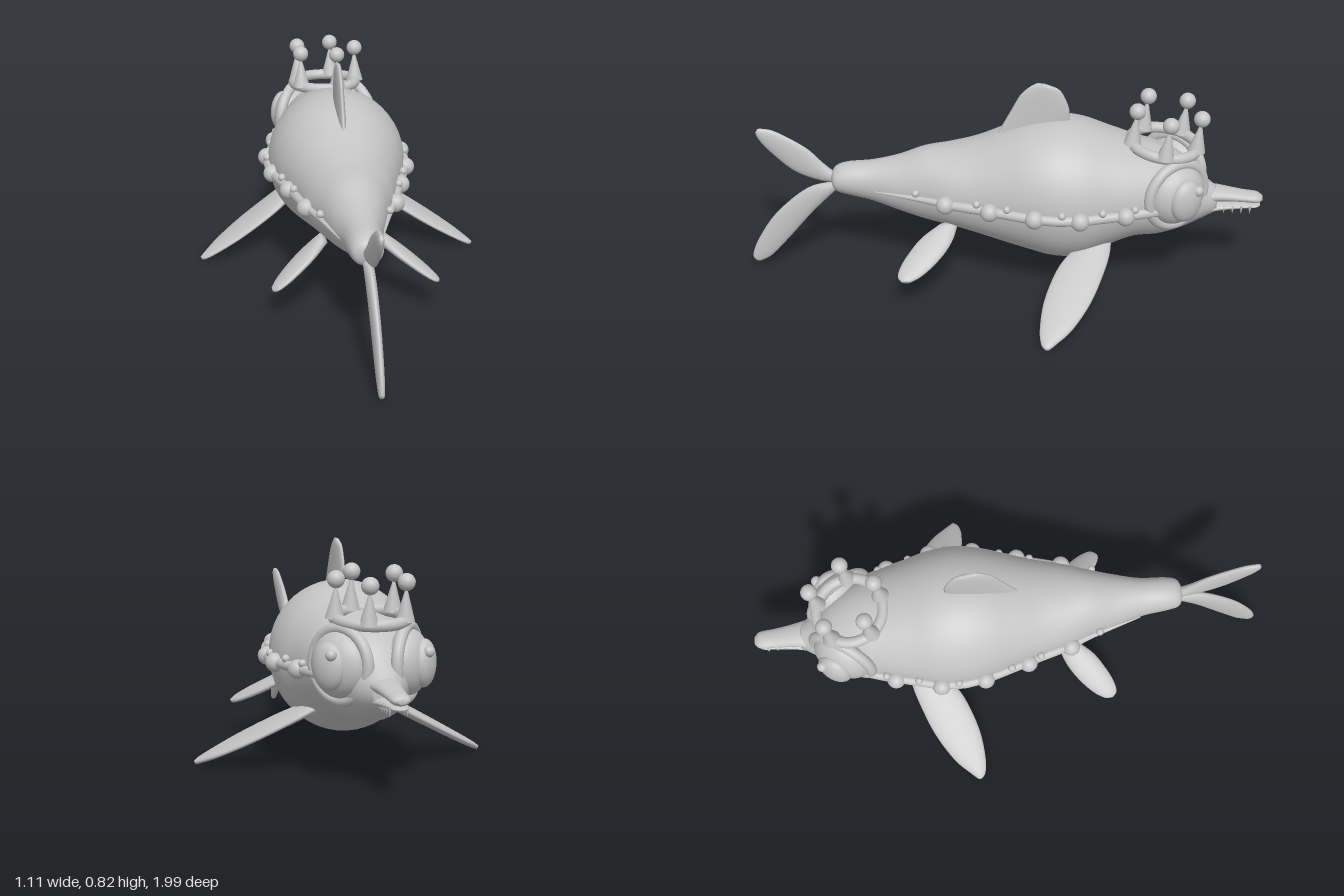
import * as THREE from 'three';

const V = (x, y, z) => new THREE.Vector3(x, y, z);
const skin = new THREE.MeshStandardMaterial({ color: 0xc4c4c4 });
skin.name = 'pale grey';

// Smooth skin over elliptical sections { c: centre, u, v: half axes }, closed at both ends
function loft(sections, steps = 48, sides = 32) {
  const curves = ['c', 'u', 'v'].map(k => {
    const pts = sections.map(s => s[k]);
    return new THREE.CatmullRomCurve3(pts, false, 'catmullrom', 0.5);
  });
  const pos = [], idx = [];
  const rings = steps + 3;
  for (let i = 0; i < rings; i++) {
    const t = Math.min(Math.max((i - 1) / steps, 0), 1);
    const [c, u, v] = curves.map(k => k.getPoint(t));
    const size = i === 0 || i === rings - 1 ? 0.001 : 1;
    for (let j = 0; j < sides; j++) {
      const a = j / sides * Math.PI * 2;
      const p = c.clone().addScaledVector(u, size * Math.cos(a)).addScaledVector(v, size * Math.sin(a));
      pos.push(p.x, p.y, p.z);
    }
  }
  const m = sections[Math.floor(sections.length / 2)];
  const along = sections[sections.length - 1].c.clone().sub(sections[0].c);
  const flip = m.u.clone().cross(m.v).dot(along) < 0;
  for (let i = 0; i < rings - 1; i++) {
    for (let j = 0; j < sides; j++) {
      const k = (j + 1) % sides;
      const a = i * sides + j, b = i * sides + k, c = b + sides, d = a + sides;
      if (flip) idx.push(a, c, b, a, d, c);
      else idx.push(a, b, c, a, c, d);
    }
  }
  const g = new THREE.BufferGeometry();
  g.setAttribute('position', new THREE.Float32BufferAttribute(pos, 3));
  g.setIndex(idx);
  g.computeVertexNormals();
  return g;
}

// Rows of [z, top y, bottom y, half width] become sections along z
const hull = rows => rows.map(([z, top, bottom, w]) => ({
  c: V(0, (top + bottom) / 2, z), u: V(w, 0, 0), v: V(0, (top - bottom) / 2, 0),
}));

// Leaf-shaped fin between edge points a and b, with the thickness along a given axis
function fin(pairs, axis, thickness) {
  const n = pairs.length - 1;
  return loft(pairs.map(([a, b], i) => ({
    c: a.clone().add(b).multiplyScalar(0.5),
    u: a.clone().sub(b).multiplyScalar(0.5),
    v: axis.clone().multiplyScalar(thickness * (1 - 0.65 * Math.pow(i / n, 2))),
  })), 24, 24);
}

const bodyRows = [
  [0.662, 0.425, 0.385, 0.02], [0.645, 0.452, 0.357, 0.052], [0.60, 0.47, 0.342, 0.064],
  [0.50, 0.482, 0.317, 0.073], [0.40, 0.505, 0.282, 0.10], [0.30, 0.542, 0.25, 0.128],
  [0.20, 0.557, 0.232, 0.164], [0.10, 0.582, 0.205, 0.19], [0, 0.622, 0.175, 0.22],
  [-0.10, 0.66, 0.147, 0.25], [-0.20, 0.676, 0.122, 0.268], [-0.30, 0.666, 0.125, 0.262],
  [-0.40, 0.632, 0.168, 0.235], [-0.50, 0.598, 0.21, 0.208], [-0.60, 0.572, 0.217, 0.175],
  [-0.69, 0.525, 0.24, 0.13], [-0.76, 0.45, 0.272, 0.085], [-0.82, 0.40, 0.30, 0.045],
];

// Body half width at a given z
function halfWidth(z) {
  const i = Math.max(1, bodyRows.findIndex(r => r[0] <= z));
  const [a, b] = [bodyRows[i - 1], bodyRows[i]];
  return THREE.MathUtils.lerp(a[3], b[3], (a[0] - z) / (a[0] - b[0]));
}

export function createModel() {
  const model = new THREE.Group();
  const add = (name, geometry, x = 0, y = 0, z = 0, parent = model) => {
    const mesh = new THREE.Mesh(geometry, skin);
    mesh.name = name;
    mesh.position.set(x, y, z);
    parent.add(mesh);
    return mesh;
  };
  const ball = r => new THREE.SphereGeometry(r, 24, 16);

  add('body', loft(hull(bodyRows), 100, 48));

  // Beak
  add('upperJaw', loft(hull([
    [-0.68, 0.46, 0.35, 0.095], [-0.76, 0.412, 0.35, 0.066], [-0.84, 0.40, 0.348, 0.047],
    [-0.92, 0.385, 0.345, 0.038], [-0.975, 0.378, 0.34, 0.034], [-0.997, 0.365, 0.348, 0.016],
  ])));
  add('lowerJaw', loft(hull([
    [-0.68, 0.35, 0.28, 0.085], [-0.76, 0.346, 0.295, 0.06], [-0.84, 0.342, 0.309, 0.042],
    [-0.92, 0.34, 0.317, 0.034], [-0.97, 0.338, 0.32, 0.029], [-0.99, 0.333, 0.325, 0.013],
  ])));
  for (const s of [1, -1]) {
    for (let i = 0; i < 4; i++) {
      add('tooth', new THREE.ConeGeometry(0.007, 0.035, 10), s * 0.03, 0.317, -0.85 - i * 0.033).rotation.x = Math.PI;
    }
    add('nostril', ball(0.014), s * 0.035, 0.42, -0.755);
  }

  // Dorsal and tail fins, edges given as [z, y]
  const upright = edges => fin(edges.map(e => [V(0, e[1], e[0]), V(0, e[3], e[2])]), V(1, 0, 0), 0.019);
  add('dorsalFin', upright([
    [0.06, 0.56, -0.25, 0.58], [0.015, 0.625, -0.25, 0.67], [-0.03, 0.71, -0.25, 0.715],
    [-0.065, 0.775, -0.235, 0.76], [-0.10, 0.81, -0.21, 0.80], [-0.125, 0.824, -0.165, 0.82],
  ]));
  add('upperTailFin', upright([
    [0.64, 0.42, 0.64, 0.385], [0.69, 0.465, 0.715, 0.395], [0.756, 0.533, 0.81, 0.435],
    [0.865, 0.598, 0.90, 0.52], [0.915, 0.61, 0.937, 0.57], [0.935, 0.61, 0.945, 0.595],
  ]));
  add('lowerTailFin', upright([
    [0.64, 0.39, 0.64, 0.36], [0.757, 0.358, 0.74, 0.255], [0.885, 0.245, 0.84, 0.135],
    [0.965, 0.125, 0.915, 0.05], [0.995, 0.05, 0.958, 0.022], [0.99, 0.03, 0.975, 0.018],
  ]));

  for (const s of [1, -1]) {
    const side = s > 0 ? 'left' : 'right';

    // Paired fins, rows of [x, front z, back z], sloping down from the root
    const paired = (rows, drop) => fin(
      rows.map(([x, f, b]) => [f, b].map(z => V(s * x, 0.253 - drop * (x - 0.115), z))),
      V(s * drop, 1, 0).normalize(), 0.021);
    add(side + 'FrontFin', paired([
      [0.12, -0.42, -0.36], [0.19, -0.415, -0.27], [0.26, -0.395, -0.215], [0.375, -0.347, -0.17],
      [0.475, -0.28, -0.157], [0.53, -0.22, -0.163], [0.55, -0.195, -0.178],
    ], 0.56));
    add(side + 'RearFin', paired([
      [0.10, 0.17, 0.24], [0.15, 0.183, 0.305], [0.20, 0.21, 0.345],
      [0.25, 0.252, 0.375], [0.29, 0.298, 0.385], [0.31, 0.335, 0.37],
    ], 0.62));

    // Beaded band along the flank
    const band = [];
    for (let i = 0; i <= 22; i++) {
      const z = 0.49 - i * 0.05, r = Math.min(0.019, 0.002 + i * 0.0025);
      band.push({ c: V(s * (halfWidth(z) + 0.003), 0.39, z), u: V(r, 0, 0), v: V(0, r, 0) });
    }
    add(side + 'Band', loft(band, 60, 16));
    for (let i = 0; i < 5; i++) {
      const z = 0.21 - i * 0.169;
      add('largeBead', ball(0.035), s * (halfWidth(z) + 0.008), 0.39, z);
    }
    for (const z of [0.325, 0.09, -0.025, -0.23, -0.38, -0.5]) {
      add('smallBead', ball(0.015), s * (halfWidth(z) + 0.008), 0.415, z);
    }

    // Bulging eye, turned outward and forward
    const eye = new THREE.Group();
    eye.name = side + 'Eye';
    eye.position.set(s * 0.12, 0.432, -0.658);
    eye.rotation.y = s * 2.16;
    model.add(eye);
    add('eyeRing', new THREE.TorusGeometry(0.125, 0.021, 16, 48), 0, 0, 0, eye);
    add('eyeball', ball(1), 0, 0, 0, eye).scale.set(0.118, 0.118, 0.075);
    add('pupil', ball(1), 0, 0, 0.06, eye).scale.set(0.068, 0.085, 0.04);
    add('eyeGlint', ball(0.02), s * 0.034, 0.045, 0.086, eye);
  }

  // Crown, tipped slightly forward
  const crown = new THREE.Group();
  crown.name = 'crown';
  crown.position.set(0, 0.585, -0.608);
  crown.rotation.x = -0.11;
  model.add(crown);
  add('crownRing', new THREE.TorusGeometry(0.127, 0.021, 16, 48), 0, 0, 0, crown).rotation.x = Math.PI / 2;
  for (let i = 0; i < 5; i++) {
    const a = i / 5 * Math.PI * 2;
    const x = 0.127 * Math.cos(a), z = 0.127 * Math.sin(a);
    add('crownSpike', new THREE.ConeGeometry(0.034, 0.125, 20), x, 0.065, z, crown);
    add('crownPearl', ball(0.031), x, 0.138, z, crown);
  }
  return model;
}
